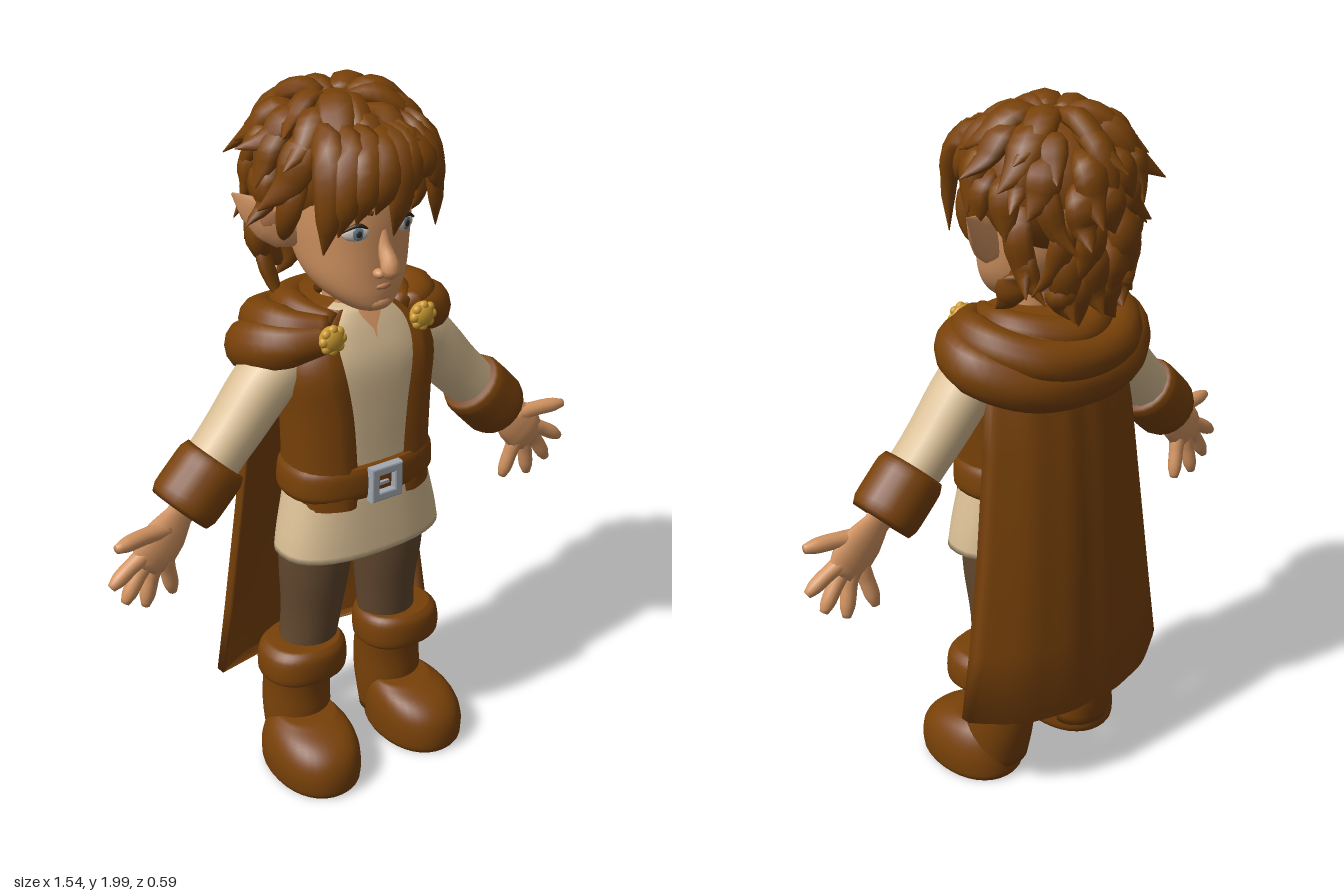
import * as THREE from 'three';
import { mergeGeometries } from 'three/addons/utils/BufferGeometryUtils.js';

const V = (x, y, z) => new THREE.Vector3(x, y, z);
const mat = (name, color, side = THREE.FrontSide) => {
  const m = new THREE.MeshStandardMaterial({ color, side });
  m.name = name;
  return m;
};

// Skin a list of point rings into a smooth surface
function skinRings(rings, closed = true) {
  const n = rings[0].length, pos = [], idx = [];
  rings.forEach(r => r.forEach(p => pos.push(p.x, p.y, p.z)));
  for (let i = 0; i < rings.length - 1; i++) {
    for (let j = 0; j < (closed ? n : n - 1); j++) {
      const k = (j + 1) % n, a = i * n + j, b = i * n + k, c = b + n, d = a + n;
      idx.push(a, b, c, a, c, d);
    }
  }
  const g = new THREE.BufferGeometry();
  g.setAttribute('position', new THREE.Float32BufferAttribute(pos, 3));
  g.setIndex(idx);
  g.computeVertexNormals();
  return g;
}

// Upright body from rows [y, cx, cz, rx, rz, halfAngle]; an angle range leaves it open
function loft(rows, { e = 2, range = null, pinch = 1, n = 32 } = {}) {
  const A = new THREE.CatmullRomCurve3(rows.map(r => V(r[0], r[1], r[2])), false, 'catmullrom');
  const B = new THREE.CatmullRomCurve3(rows.map(r => V(r[3], r[4], r[5] || 0)), false, 'catmullrom');
  const steps = (rows.length - 1) * 4, rings = [];
  const pw = v => Math.sign(v) * Math.abs(v) ** (2 / e);
  for (let i = 0; i <= steps; i++) {
    const a = A.getPoint(i / steps), b = B.getPoint(i / steps), ring = [];
    const [a0, a1] = range ? range(b.z) : [0, Math.PI * 2];
    for (let j = 0; j < (range ? n + 1 : n); j++) {
      const t = a0 + (a1 - a0) * j / n, k = range && j % n === 0 ? pinch : 1;
      ring.push(V(a.y + b.x * k * pw(Math.sin(t)), a.x, a.z + b.y * k * pw(Math.cos(t))));
    }
    rings.push(ring);
  }
  if (!range) {
    const cap = (r, i) => { const c = A.getPoint(i); return r.map(() => V(c.y, c.x, c.z)); };
    rings.unshift(cap(rings[0], 0));
    rings.push(cap(rings[0], 1));
  }
  return skinRings(rings, !range);
}

// Tapered, flattened tube along a curve; "up" is the thin direction
function sweep(pts, radii, up = V(0, 0, 1), flat = 1, sides = 12, steps = 12) {
  const curve = new THREE.CatmullRomCurve3(pts), rings = [];
  for (let i = 0; i <= steps; i++) {
    const t = i / steps, p = curve.getPoint(t), tan = curve.getTangent(t);
    const f = t * (radii.length - 1), k = Math.min(Math.floor(f), radii.length - 2);
    const r = THREE.MathUtils.lerp(radii[k], radii[k + 1], f - k);
    const b = up.clone().cross(tan).normalize(), n = tan.clone().cross(b);
    rings.push(Array.from({ length: sides }, (_, j) => {
      const a = j / sides * Math.PI * 2;
      return p.clone().addScaledVector(b, r * Math.cos(a)).addScaledVector(n, r * flat * Math.sin(a));
    }));
  }
  rings.unshift(rings[0].map(() => pts[0].clone()));
  rings.push(rings[0].map(() => pts[pts.length - 1].clone()));
  return skinRings(rings);
}

// Hair: cap, overlapping rows of curling locks, fringe and sideburns
function hairGeometry() {
  let seed = 11;
  const rnd = () => (seed = (seed * 16807) % 2147483647) / 2147483647 - 0.5;
  const C = V(0, 1.78, -0.03), S = V(0.205, 0.185, 0.205);
  const at = (phi, deg, k) => {
    const s = deg * Math.PI / 180, h = (s > 0 ? Math.cos(s) : 1 - 0.15 * s * s) * k;
    const y = s > 0 ? Math.sin(s) * k : s * 1.3;
    return V(Math.sin(phi) * h, y, Math.cos(phi) * h).multiply(S).add(C);
  };
  const cap = new THREE.SphereGeometry(1, 28, 20).scale(S.x, S.y, S.z).translate(C.x, C.y, C.z);
  cap.deleteAttribute('uv');
  const parts = [cap];
  const lock = (phi, e0, e1, w, flick) => {
    const tw = rnd() * 0.8, m = (e0 + e1) / 2, up = at(phi, m, 1).sub(C).normalize();
    parts.push(sweep([at(phi, e0, 0.94), at(phi + tw * 0.1, e0 * 0.7 + e1 * 0.3, 1.1),
      at(phi + tw * 0.4, e0 * 0.3 + e1 * 0.7, 1.13), at(phi + tw, e1, flick)],
    [w * 0.6, w, w, w * 0.65, 0.002], up, 0.62, 8, 10));
  };
  for (const [e0, len, count, maxFront] of [[80, 58, 8, 2], [58, 50, 11, 2], [36, 44, 13, 0.75],
    [14, 42, 15, 0.45], [-8, 42, 15, -0.2], [-28, 42, 15, -0.2], [-46, 34, 14, -0.3]]) {
    for (let i = 0; i < count; i++) {
      const phi = (i + (e0 % 4 ? 0.5 : 0) + rnd() * 0.5) / count * Math.PI * 2;
      if (Math.cos(phi) > maxFront) continue;
      lock(phi, e0 + rnd() * 8, e0 - len + rnd() * 16, 0.046 + rnd() * 0.02, 1.3 + rnd() * 0.3);
    }
  }
  for (const s of [-1, 1]) lock(s * 1.05, 8, -42, 0.034, 0.98);
  // Fringe locks: root x, tip x, tip y
  for (const [x, xt, yt] of [[-0.15, -0.175, 1.62], [-0.11, -0.15, 1.67], [-0.07, -0.11, 1.7],
    [-0.02, -0.06, 1.72], [0.02, -0.005, 1.655], [0.06, 0.025, 1.73], [0.08, 0.12, 1.79], [0.12, 0.17, 1.73], [0.15, 0.175, 1.63]]) {
    const z = 0.245 - 2.8 * x * x;
    parts.push(sweep([V(x * 0.8, 1.91, z - 0.14), V(x, 1.87, z - 0.02), V((x + xt) / 2 - 0.01, (1.86 + yt) / 2, z + 0.015),
      V(xt, yt, z - 0.01)], [0.03, 0.046, 0.046, 0.032, 0.002], V(x, 0, 0.2).normalize(), 0.6, 8, 12));
  }
  return mergeGeometries(parts);
}

// Cape: crescent cross-sections with faint folds
function capeGeometry() {
  const N = 32;
  return skinRings([[0.27, 0, 0, 0], [0.27, 0.368, -0.1, -0.222], [0.5, 0.337, -0.1, -0.216], [0.8, 0.297, -0.095, -0.205],
    [1.1, 0.262, -0.085, -0.182], [1.36, 0.23, -0.06, -0.14], [1.36, 0, 0, 0]].map(([y, w, ze, zb]) => {
    const pt = (u, inset) => {
      if (!w) return V(0, y, -0.17 + (y > 1 ? 0.05 : 0));
      const z = ze + (zb - ze) * (1 - Math.abs(u) ** 2.4) + 0.002 * Math.cos(u * 15);
      return V(u * w, y + (y < 0.3 ? 0.03 * Math.abs(u) ** 3 : 0), z + inset);
    };
    const ring = [];
    for (let i = 0; i <= N; i++) ring.push(pt(-1 + 2 * i / N, 0.03));
    for (let i = 0; i <= N; i++) ring.push(pt(1 - 2 * i / N, 0));
    return ring;
  }));
}

export function createModel() {
  const model = new THREE.Group();
  model.name = 'cloakedTraveller';
  const brown = mat('leatherBrown', 0x784108, THREE.DoubleSide), cream = mat('linen', 0xd9be94);
  const skin = mat('skin', 0xd39461), pants = mat('trouserBrown', 0x62482f), gold = mat('gold', 0xcb9a30);
  const silver = mat('silver', 0xa3a9b2), white = mat('eyeWhite', 0xcfc4b8), iris = mat('irisBlue', 0x5f7f96);
  const dark = mat('darkBrown', 0x3a2412), lip = mat('lip', 0xb87850);
  const add = (name, g, m) => {
    const mesh = new THREE.Mesh(g, m);
    mesh.name = name;
    model.add(mesh);
    return mesh;
  };
  const ball = (name, m, p, r) => {
    const b = add(name, new THREE.SphereGeometry(1, 20, 14), m);
    b.position.set(...p);
    b.scale.set(...r);
    return b;
  };

  // Torso: shirt, open vest, neckline, belt, skirt
  const torso = [[0.88, 0, 0.065, 0.2, 0.125, 0.3], [1.0, 0, 0.065, 0.2, 0.12, 0.31], [1.15, 0, 0.065, 0.205, 0.12, 0.36],
    [1.28, 0, 0.06, 0.215, 0.12, 0.45], [1.37, 0, 0.05, 0.17, 0.1, 0.62], [1.43, 0, 0.045, 0.09, 0.075, 0.75]];
  add('shirt', loft(torso, { e: 2.5 }), cream);
  add('vest', loft(torso.map(([y, x, z, a, b, h]) => [y, x, z, a + 0.016, b + 0.016, h]),
    { e: 2.5, range: h => [h, Math.PI * 2 - h], pinch: 0.92, n: 48 }), brown);
  add('necklineNotch', loft([[1.35, 0, 0.053, 0.19, 0.112, 0], [1.385, 0, 0.048, 0.16, 0.1, 0.04],
    [1.43, 0, 0.045, 0.094, 0.08, 0.3]], { e: 2.5, range: h => [-h, h], n: 8 }), skin);
  add('skirt', loft([[0.728, 0, 0.075, 0.255, 0.136], [0.8, 0, 0.072, 0.243, 0.133], [0.93, 0, 0.065, 0.212, 0.128]], { e: 2.4 }), cream);
  add('belt', loft([[0.905, 0, 0.063, 0.222, 0.135], [0.925, 0, 0.063, 0.23, 0.142], [0.975, 0, 0.063, 0.227, 0.142],
    [1.0, 0, 0.063, 0.215, 0.134]], { e: 2.5 }), brown);
  const square = (P, r) => { const p = new P(); p.moveTo(-r, -r); p.lineTo(r, -r); p.lineTo(r, r); p.lineTo(-r, r); p.closePath(); return p; };
  const frame = square(THREE.Shape, 0.046);
  frame.holes.push(square(THREE.Path, 0.03));
  add('buckle', new THREE.ExtrudeGeometry(frame, { depth: 0.018, bevelSize: 0.005, bevelThickness: 0.005, bevelSegments: 2 }), silver)
    .position.set(-0.003, 0.948, 0.201);
  add('bucklePin', new THREE.BoxGeometry(0.035, 0.009, 0.009), silver).position.set(-0.012, 0.948, 0.214);

  // Cape and draped hood
  add('cape', capeGeometry(), brown);
  add('hoodDrape', loft([[1.27, 0, -0.05, 0.29, 0.15, 0.95], [1.37, 0, -0.03, 0.27, 0.16, 0.85], [1.43, 0, 0, 0.18, 0.14, 0.8],
    [1.45, 0, 0.02, 0.09, 0.08, 0.8]], { range: h => [h, Math.PI * 2 - h] }), brown);
  const fold = (name, half, radii, flat) => add(name, sweep([...half.map(p => V(...p)),
    ...half.slice(0, -1).reverse().map(([x, y, z]) => V(-x, y, z))], radii, V(0, 1, 0), flat, 14, 48), brown);
  fold('hoodOuterFold', [[0.14, 1.375, 0.14], [0.24, 1.355, 0.08], [0.272, 1.325, -0.04], [0.17, 1.28, -0.14], [0, 1.262, -0.17]],
    [0.035, 0.06, 0.06, 0.06, 0.06, 0.06, 0.035], 1.15);
  fold('hoodMiddleFold', [[0.13, 1.4, 0.13], [0.21, 1.395, 0.06], [0.22, 1.38, -0.05], [0.14, 1.345, -0.15], [0, 1.33, -0.18]],
    [0.03, 0.058, 0.06, 0.06, 0.06, 0.058, 0.03], 1);
  fold('hoodInnerFold', [[0.11, 1.41, 0.12], [0.15, 1.415, 0.03], [0.14, 1.41, -0.05], [0.08, 1.395, -0.11], [0, 1.385, -0.14]],
    [0.025, 0.047, 0.055, 0.055, 0.055, 0.047, 0.025], 0.9);

  // Head and face
  add('neck', loft([[1.34, 0, 0.04, 0.085, 0.07], [1.42, 0, 0.03, 0.07, 0.065], [1.52, 0, 0.03, 0.075, 0.075]]), skin);
  add('head', loft([[1.428, 0, 0.125, 0.03, 0.035], [1.442, 0, 0.108, 0.064, 0.075], [1.48, 0, 0.075, 0.108, 0.115],
    [1.53, 0, 0.05, 0.137, 0.14], [1.6, 0, 0.03, 0.153, 0.16], [1.68, 0, 0.022, 0.163, 0.168], [1.76, 0, 0.01, 0.165, 0.17],
    [1.85, 0, 0, 0.14, 0.15], [1.91, 0, 0, 0.06, 0.06]], { e: 2.15 }), skin);
  add('nose', sweep([V(0, 1.67, 0.172), V(0, 1.61, 0.19), V(0, 1.56, 0.217), V(0, 1.54, 0.203)], [0.014, 0.019, 0.027, 0.016]), skin);
  add('mouth', sweep([V(-0.042, 1.5, 0.172), V(0, 1.506, 0.193), V(0.042, 1.5, 0.172)], [0.003, 0.008, 0.003], V(0, 0, 1), 0.8), lip);
  ball('chin', skin, [0, 1.457, 0.157], [0.045, 0.026, 0.035]);
  add('hair', hairGeometry(), brown);

  for (const s of [-1, 1]) {
    const side = s > 0 ? 'left' : 'right';
    const P = (x, y, z) => V(s * x, y, z);
    // Eyes, brows, ears
    ball(side + 'Nostril', skin, [s * 0.022, 1.546, 0.197], [0.015, 0.013, 0.018]);
    ball(side + 'Eye', white, [s * 0.076, 1.656, 0.17], [0.036, 0.021, 0.013]).rotation.y = s * 0.4;
    ball(side + 'Iris', iris, [s * 0.075, 1.657, 0.181], [0.016, 0.017, 0.004]).rotation.y = s * 0.3;
    ball(side + 'Pupil', dark, [s * 0.075, 1.657, 0.184], [0.008, 0.009, 0.003]).rotation.y = s * 0.3;
    add(side + 'Eyelid', sweep([P(0.04, 1.662, 0.18), P(0.075, 1.68, 0.181), P(0.114, 1.66, 0.157)], [0.003, 0.006, 0.003]), dark);
    add(side + 'Brow', sweep([P(0.035, 1.705, 0.187), P(0.08, 1.72, 0.174), P(0.125, 1.706, 0.143)],
      [0.006, 0.01, 0.004], V(0, 0, 1), 0.7), brown);
    add(side + 'Ear', sweep([P(0.14, 1.625, 0.015), P(0.19, 1.65, 0), P(0.245, 1.69, -0.025), P(0.298, 1.742, -0.055)],
      [0.04, 0.058, 0.056, 0.036, 0.003], V(s * 0.5, 0, 0.85), 0.35), skin);
    add(side + 'EarHollow', sweep([P(0.185, 1.645, 0.018), P(0.225, 1.675, 0.001), P(0.265, 1.71, -0.025)],
      [0.01, 0.026, 0.004], V(s * 0.5, 0, 0.85), 0.25), lip);

    // Brooch
    ball(side + 'Brooch', gold, [s * 0.145, 1.382, 0.163], [0.037, 0.037, 0.026]);
    for (let i = 0; i < 8; i++) {
      const a = i * Math.PI / 4;
      ball(side + 'BroochPetal', gold, [s * 0.145 + 0.028 * Math.cos(a), 1.382 + 0.028 * Math.sin(a), 0.17], [0.014, 0.014, 0.012]);
    }

    // Arm, cuff, hand
    add(side + 'Sleeve', sweep([P(0.15, 1.32, 0.035), P(0.25, 1.255, 0.025), P(0.36, 1.135, 0.025), P(0.48, 1.01, 0.03)],
      [0.08, 0.088, 0.084, 0.078, 0.075]), cream);
    add(side + 'Cuff', sweep([P(0.424, 1.065, 0.033), P(0.48, 1.007, 0.033), P(0.538, 0.948, 0.033)],
      [0.088, 0.097, 0.098, 0.098, 0.098, 0.098, 0.097, 0.088], V(0, 0, 1), 0.98, 20, 14), brown);
    add(side + 'Palm', sweep([P(0.51, 0.975, 0.04), P(0.56, 0.925, 0.045), P(0.615, 0.87, 0.05), P(0.66, 0.82, 0.05)],
      [0.042, 0.044, 0.064, 0.068, 0.05], V(0, 0, 1), 0.48), skin);
    // Finger base x, y, then tip x, y, z
    for (const [bx, by, tx, ty, z] of [[0.59, 0.915, 0.75, 0.922, 0.08], [0.65, 0.865, 0.763, 0.8, 0.06], [0.65, 0.845, 0.722, 0.735, 0.05],
      [0.63, 0.83, 0.658, 0.7, 0.04], [0.6, 0.835, 0.57, 0.708, 0.03]]) {
      add(side + 'Finger', sweep([P(bx, by, 0.05), P((bx + tx) / 2, (by + ty) / 2 + 0.004, (z + 0.05) / 2), P(tx, ty, z)],
        [0.025, 0.024, 0.022, 0.022, 0.021, 0.012]), skin);
    }

    // Leg and boot
    add(side + 'Trouser', loft([[0.36, s * 0.145, 0.025, 0.085, 0.078], [0.5, s * 0.13, 0.035, 0.088, 0.087],
      [0.65, s * 0.125, 0.047, 0.103, 0.1], [0.8, s * 0.12, 0.052, 0.112, 0.104]]), pants);
    add(side + 'BootCuff', loft([[0.305, s * 0.165, 0.037, 0.108, 0.093], [0.325, s * 0.167, 0.04, 0.127, 0.11],
      [0.39, s * 0.165, 0.04, 0.125, 0.11], [0.418, s * 0.16, 0.038, 0.103, 0.093]], { e: 2.3 }), brown);
    add(side + 'BootShaft', loft([[0.04, s * 0.165, 0.01, 0.09, 0.075], [0.15, s * 0.165, 0.005, 0.1, 0.097],
      [0.25, s * 0.163, 0.004, 0.1, 0.097], [0.36, s * 0.16, 0.025, 0.103, 0.09]]), brown);
    add(side + 'BootFoot', loft([[0, s * 0.185, 0.11, 0.115, 0.16], [0.02, s * 0.185, 0.11, 0.123, 0.17], [0.07, s * 0.185, 0.11, 0.126, 0.17],
      [0.115, s * 0.182, 0.105, 0.12, 0.158], [0.15, s * 0.177, 0.09, 0.105, 0.13], [0.175, s * 0.17, 0.06, 0.08, 0.085]], { e: 2.2 }), brown);
  }
  return model;
}
